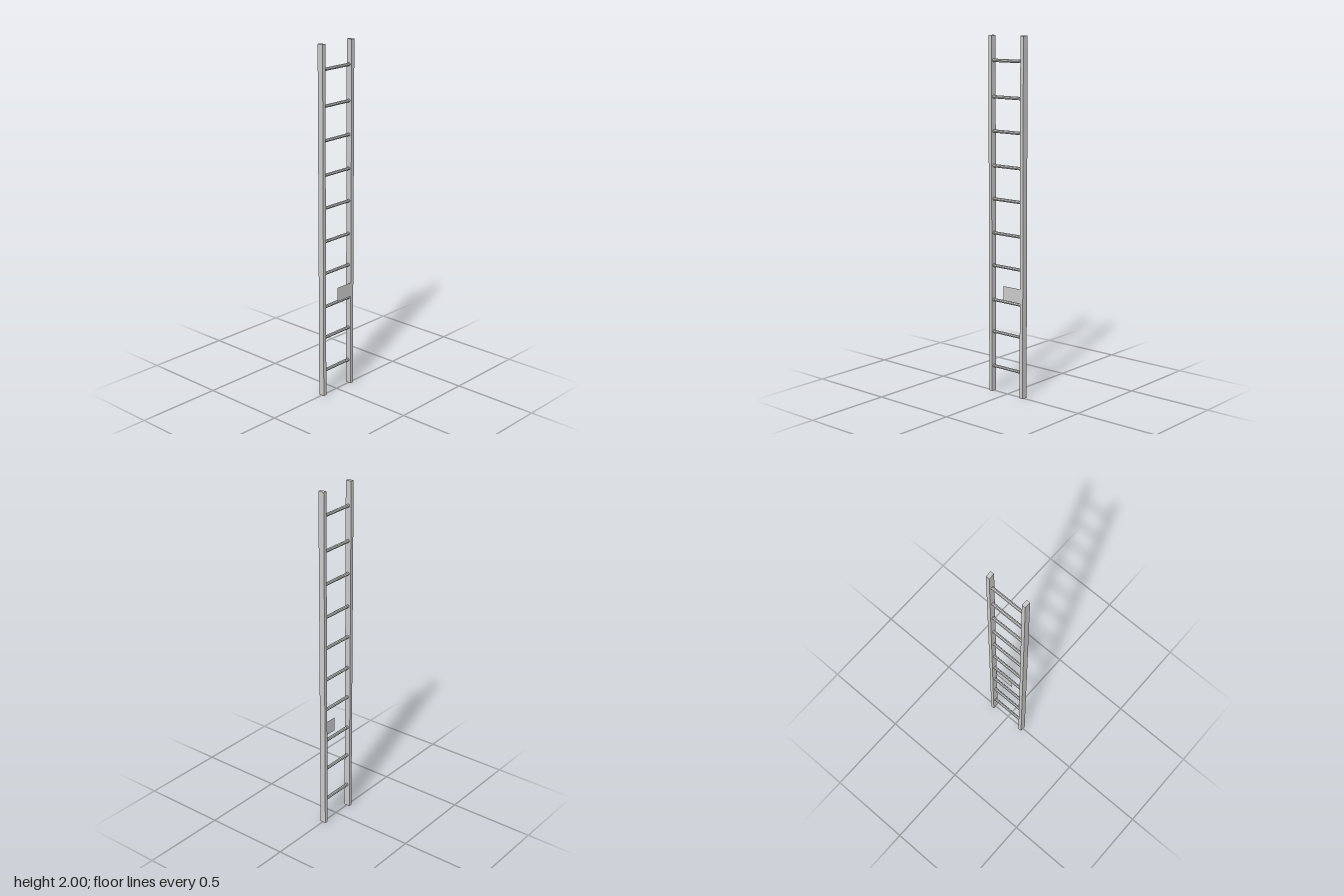
import * as THREE from 'three';

export function createModel() {
  const group = new THREE.Group();
  group.name = 'ladder';
  const material = new THREE.MeshStandardMaterial({ color: 0xcccccc, flatShading: true });
  const ladderX = -0.002;

  function add(name, geometry, x, y, z, mat = material) {
    const mesh = new THREE.Mesh(geometry, mat);
    mesh.name = name;
    mesh.position.set(x, y, z);
    group.add(mesh);
    return mesh;
  }

  // Two upright side rails
  const railGeometry = new THREE.BoxGeometry(0.035, 2, 0.021);
  add('frontRail', railGeometry, ladderX, 1, 0.112);
  add('backRail', railGeometry, ladderX, 1, -0.113);

  // Round rungs, slightly unevenly spaced, ending inside the rails
  const rungGeometry = new THREE.CylinderGeometry(0.0092, 0.0092, 0.212, 8);
  rungGeometry.rotateX(Math.PI / 2);
  const rungHeights = [0.146, 0.347, 0.531, 0.728, 0.913, 1.104, 1.289, 1.48, 1.667, 1.864];
  for (const y of rungHeights) add('rung', rungGeometry, ladderX, y, 0);

  // Thin plate standing just off the outer face of the back rail
  const plateMaterial = new THREE.MeshStandardMaterial({ color: 0xcccccc, side: THREE.DoubleSide });
  const plateGeometry = new THREE.PlaneGeometry(0.123, 0.082);
  plateGeometry.rotateY(Math.PI / 2);
  add('plate', plateGeometry, 0.0195, 0.585, -0.05, plateMaterial);

  return group;
}
